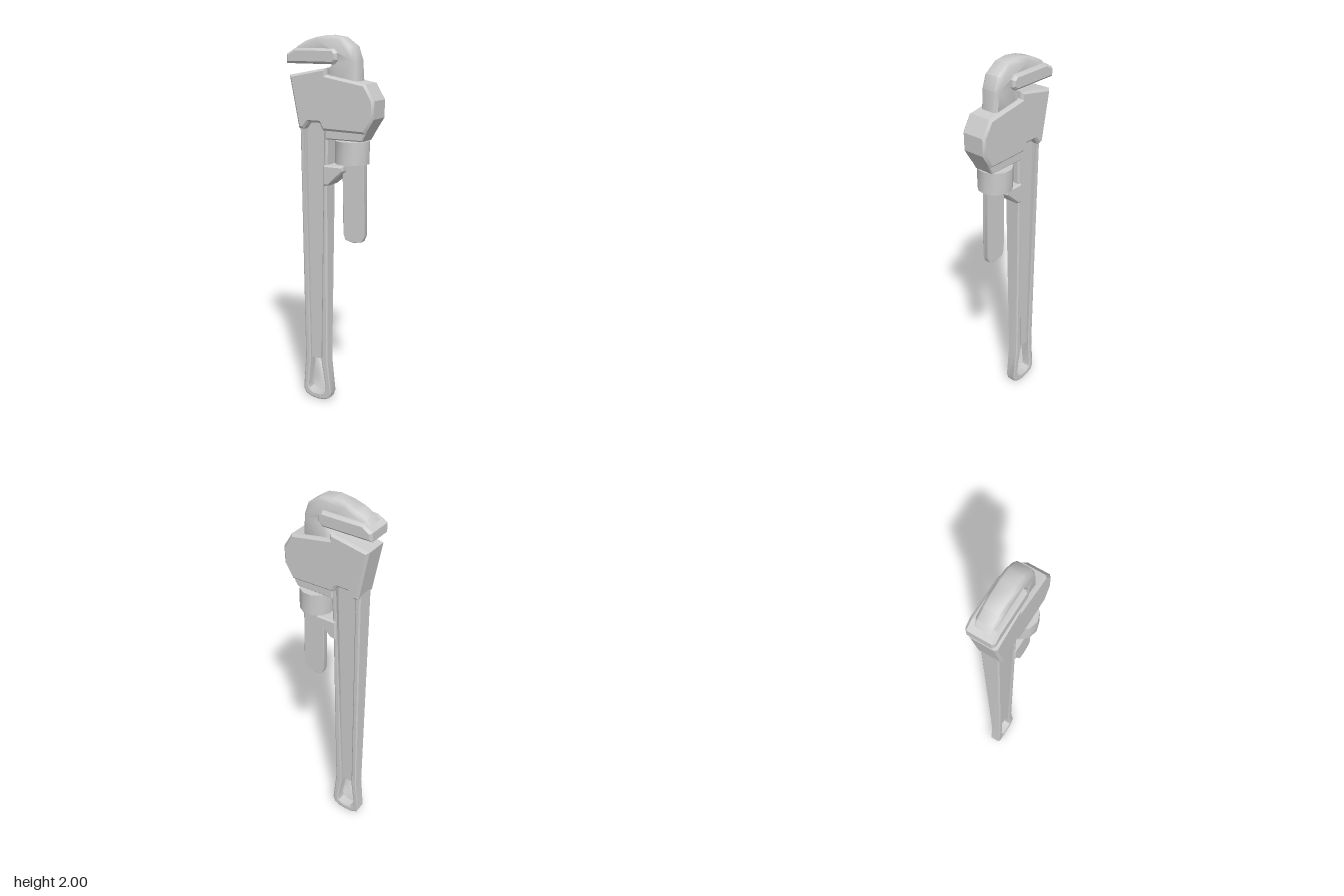
import * as THREE from 'three';
import { toCreasedNormals } from 'three/addons/utils/BufferGeometryUtils.js';

const MID_Z = -0.003;
const material = new THREE.MeshStandardMaterial({ color: 0xcccccc });
const toPoints = (list) => list.map(([x, y]) => new THREE.Vector2(x, y));

// Chamfered slab cut from a front outline; depth is the half thickness
function slab(outline, depth, bevel, hole) {
  const shape = new THREE.Shape(toPoints(outline));
  if (hole) shape.holes.push(new THREE.Path(toPoints(hole)));
  const g = new THREE.ExtrudeGeometry(shape, {
    depth: 2 * (depth - bevel), bevelEnabled: bevel > 0, bevelSize: bevel,
    bevelThickness: bevel, bevelOffset: -bevel, bevelSegments: 1,
  });
  return g.translate(0, 0, bevel - depth);
}

// Thin the slab towards the bottom
function taper(g, y0, s0, y1, s1) {
  const p = g.attributes.position;
  for (let i = 0; i < p.count; i++) {
    const t = THREE.MathUtils.clamp((p.getY(i) - y0) / (y1 - y0), 0, 1);
    p.setZ(i, p.getZ(i) * THREE.MathUtils.lerp(s0, s1, t));
  }
  g.computeVertexNormals();
  return g;
}

export function createModel() {
  const model = new THREE.Group();
  const add = (name, g, crease = 0.5) => {
    const mesh = new THREE.Mesh(toCreasedNormals(g, crease), material);
    mesh.name = name;
    mesh.position.z = MID_Z;
    model.add(mesh);
  };

  // Handle: outer rails with the hanging loop, and a thin web between the rails
  const rails = slab([
    [-0.185, 1.6], [-0.175, 0.25], [-0.192, 0.05], [-0.178, 0.02], [-0.14, 0.004],
    [-0.1, 0], [-0.06, 0.004], [-0.028, 0.02], [-0.015, 0.055], [-0.037, 0.25], [-0.028, 1.24], [-0.018, 1.6],
  ], 0.05, 0.007, [
    [-0.155, 1.53], [-0.125, 1.565], [-0.06, 1.565], [-0.043, 1.53], [-0.075, 0.245], [-0.05, 0.08],
    [-0.055, 0.05], [-0.085, 0.037], [-0.13, 0.037], [-0.155, 0.055], [-0.16, 0.08], [-0.143, 0.245],
  ]);
  add('handle', taper(rails, 0, 0.56, 1.5, 1));
  add('handleWeb', taper(slab([
    [-0.17, 1.58], [-0.155, 0.245], [-0.06, 0.245], [-0.035, 1.58],
  ], 0.025, 0), 0.2, 0.6, 1.5, 1));

  // Head housing, notched where the handle channel runs into it
  add('housing', slab([
    [-0.235, 1.802], [-0.182, 1.535], [-0.155, 1.53], [-0.125, 1.567], [-0.06, 1.567], [-0.04, 1.53],
    [0.2, 1.525], [0.247, 1.6], [0.249, 1.69], [0.2, 1.77], [-0.02, 1.808], [-0.02, 1.842],
  ], 0.071, 0.012));
  add('housingBase', slab([
    [-0.03, 1.54], [-0.03, 1.485], [0.18, 1.485], [0.215, 1.55],
  ], 0.058, 0.006));

  // Hook jaw with its wide gripping plate
  add('hookJaw', slab([
    [-0.24, 1.905], [-0.2, 1.945], [-0.15, 1.972], [-0.09, 1.99], [-0.02, 2], [0.05, 1.99], [0.115, 1.945],
    [0.137, 1.88], [0.149, 1.7], [-0.02, 1.7], [-0.02, 1.84], [0.015, 1.87], [0.015, 1.9],
  ].reverse(), 0.05, 0.014), 0.8);
  add('jawPlate', slab([
    [-0.25, 1.86], [0.022, 1.86], [0.042, 1.88], [0.042, 1.915], [0.022, 1.936], [-0.2, 1.936], [-0.25, 1.906],
  ], 0.073, 0.012));

  // Flat shank of the hook jaw, hanging below the nut
  add('jawShank', slab([
    [0.045, 1.6], [0.055, 0.99], [0.068, 0.957], [0.115, 0.945], [0.165, 0.957], [0.179, 0.99], [0.17, 1.6],
  ], 0.018, 0.003));

  // Adjusting nut
  add('adjustingNut', new THREE.CylinderGeometry(0.09, 0.09, 0.117, 11).translate(0.099, 1.4235, 0), 0.7);

  // Bracket on the handle that guides the shank
  add('shankBracket', slab([
    [-0.045, 1.35], [-0.045, 1.24], [-0.012, 1.245], [0.072, 1.325], [0.072, 1.35],
  ], 0.054, 0.008));

  return model;
}
